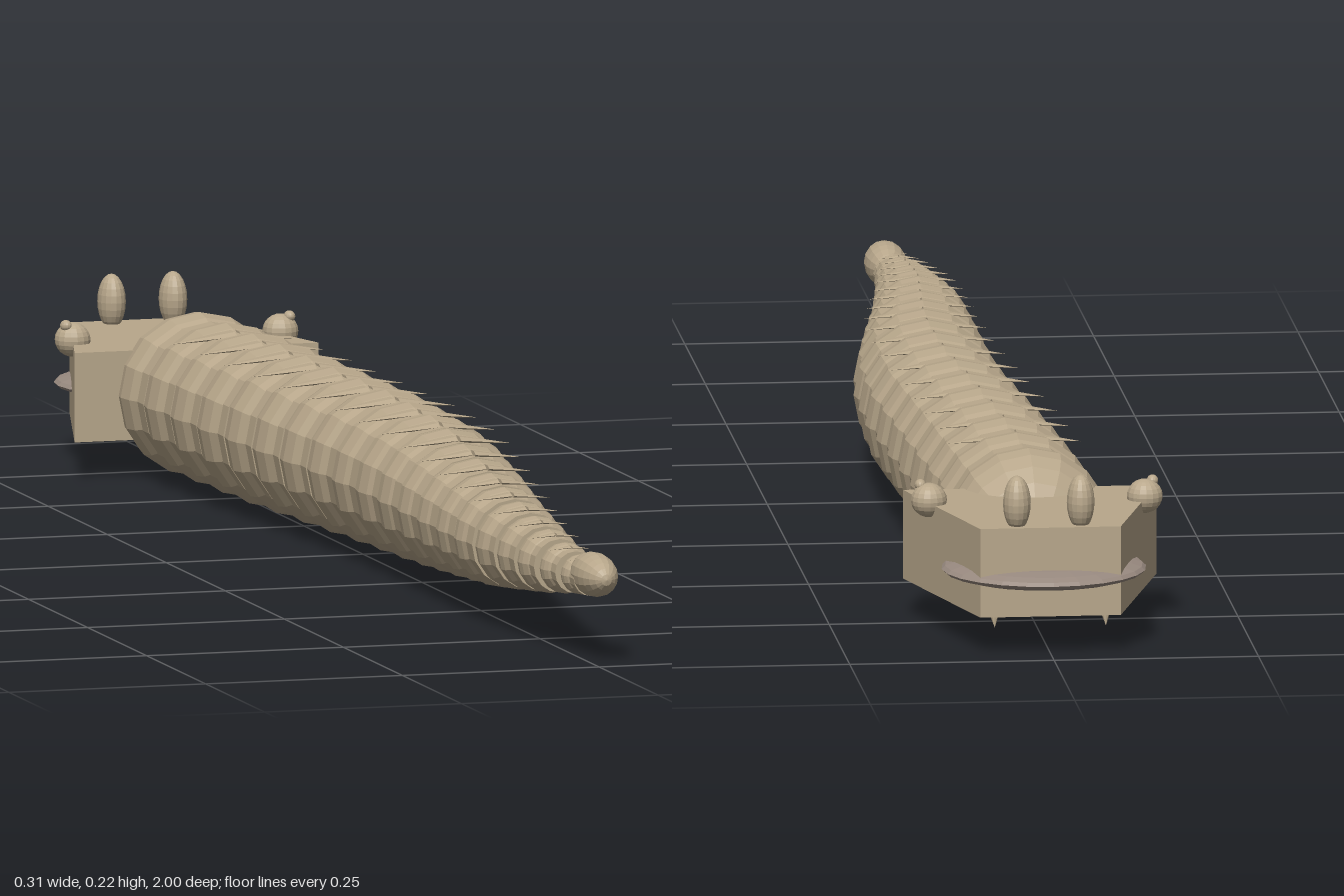
import * as THREE from 'three';

// Body path: [z, x, radius]
const PATH = [
  [-0.69, 0, 0.101], [-0.4, 0.015, 0.101], [0, 0.038, 0.096], [0.2, 0.037, 0.09], [0.4, 0.021, 0.076],
  [0.6, 0.004, 0.06], [0.8, 0, 0.038], [0.9, 0.004, 0.025], [1, 0.01, 0.02],
];
const Y = 0.102;

function along(z) {
  let i = 0;
  while (i < PATH.length - 2 && z > PATH[i + 1][0]) i++;
  const [a, b] = [PATH[i], PATH[i + 1]];
  const t = (z - a[0]) / (b[0] - a[0]);
  return { x: a[1] + (b[1] - a[1]) * t, r: a[2] + (b[2] - a[2]) * t };
}

export function createModel() {
  const model = new THREE.Group();
  const skin = new THREE.MeshStandardMaterial({ color: 0xb8a78b, flatShading: true });
  skin.name = 'sandy skin';
  const mouthColor = new THREE.MeshStandardMaterial({ color: 0x998a80, flatShading: true });
  mouthColor.name = 'greyish mouth';

  const add = (name, geo, pos, scale = [1, 1, 1], mat = skin, parent = model) => {
    const m = new THREE.Mesh(geo, mat);
    m.name = name;
    m.position.set(...pos);
    m.scale.set(...scale);
    parent.add(m);
    return m;
  };

  const ball = new THREE.SphereGeometry(1, 16, 12);
  const segmentGeo = new THREE.SphereGeometry(1, 16, 12).rotateX(Math.PI / 2);
  const ringGeo = new THREE.CylinderGeometry(1, 1, 1, 16).rotateX(Math.PI / 2);
  const scaleGeo = new THREE.ConeGeometry(1, 1, 6).rotateZ(-Math.PI / 2); // tip towards +x

  // Body segments, joining rings and a pair of flat scales on each
  const body = new THREE.Group();
  body.name = 'body';
  model.add(body);
  let z = -0.69;
  while (z < 0.91) {
    const { x, r } = along(z);
    const step = 0.04 + 0.055 * (r / 0.1);
    add('segment', segmentGeo, [x, Y, z], [r, r, Math.min(r, step)], skin, body);
    const mid = along(z + step / 2);
    add('joint', ringGeo, [mid.x, Y, z + step / 2], [mid.r * 0.93, mid.r * 0.93, step * 0.35], skin, body);
    if (z > -0.66) {
      for (const s of [-1, 1]) {
        const plate = add('backScale', scaleGeo, [x + s * r * 0.42, Y + r * 0.86, z + step * 0.35],
          [r * 0.8, r * 0.05, r * 0.22], skin, body);
        plate.rotation.set(0, s > 0 ? 0 : Math.PI, -0.12);
      }
    }
    z += step;
  }
  add('tailTip', segmentGeo, [0.01, 0.107, 0.945], [0.026, 0.027, 0.055], skin, body);

  // Wedge-shaped head, narrower at the snout
  const outline = new THREE.Shape([
    new THREE.Vector2(-0.155, 0.705), new THREE.Vector2(0.155, 0.705),
    new THREE.Vector2(0.086, 0.957), new THREE.Vector2(-0.086, 0.957),
  ]);
  const headGeo = new THREE.ExtrudeGeometry(outline, { depth: 0.11, bevelEnabled: false });
  headGeo.rotateX(-Math.PI / 2);
  add('head', headGeo, [0, 0.047, 0]);

  // Flat rounded mouth
  add('mouth', new THREE.SphereGeometry(1, 24, 12), [0, 0.092, -0.875], [0.125, 0.016, 0.125], mouthColor);

  // Eyes, side knobs and fangs
  const fangGeo = new THREE.ConeGeometry(0.009, 0.026, 8).rotateX(Math.PI);
  for (const s of [-1, 1]) {
    add('eye', ball, [s * 0.039, 0.184, -0.935], [0.017, 0.034, 0.022]);
    add('cheekKnob', ball, [s * 0.132, 0.161, -0.79], [0.022, 0.021, 0.022]);
    add('knobTip', ball, [s * 0.142, 0.179, -0.785], [0.007, 0.007, 0.009]);
    add('fang', fangGeo, [s * 0.068, 0.046, -0.95]).rotation.x = 0.3;
  }
  return model;
}
